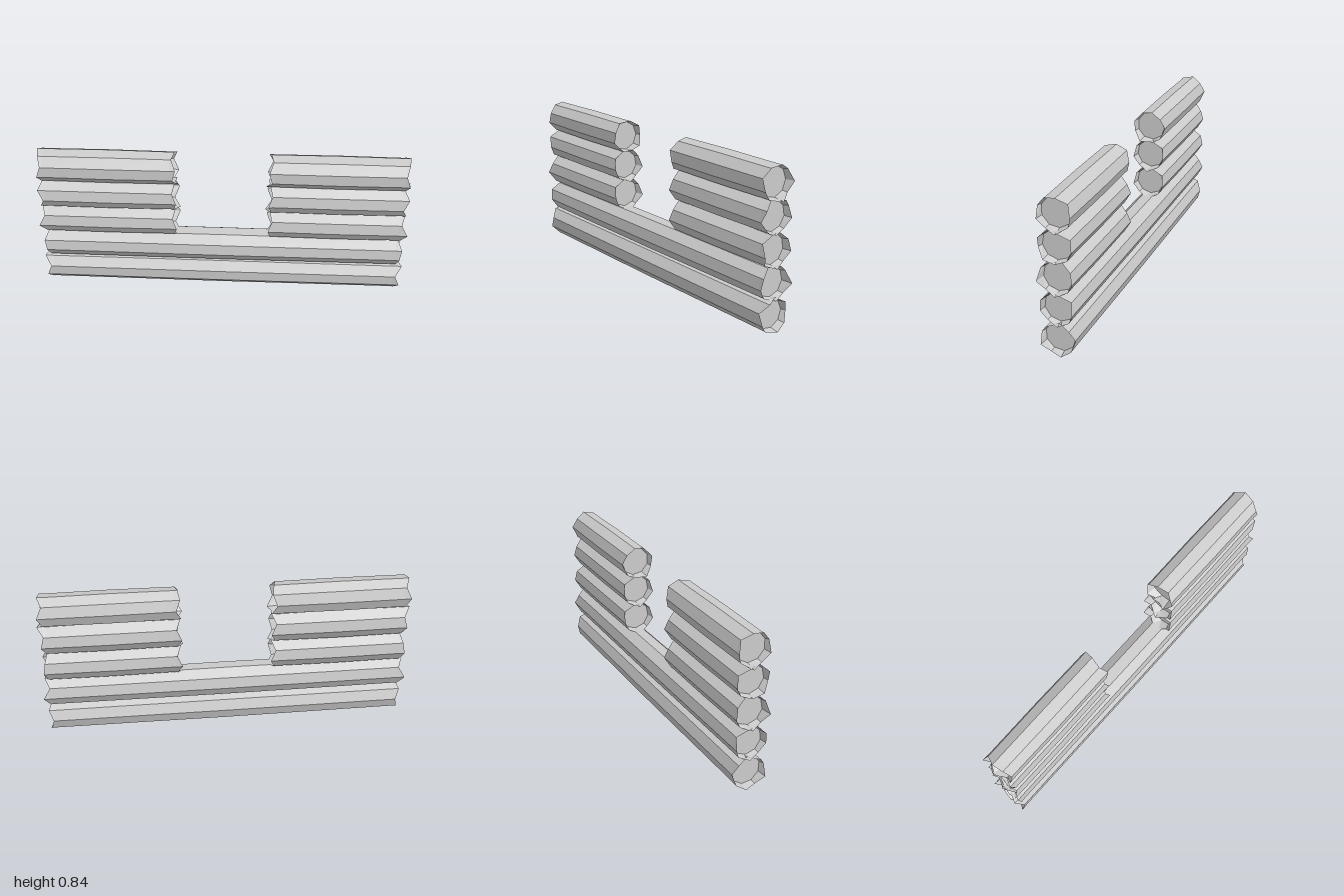
import * as THREE from 'three';

const SIDES = 9;
const MID_R = 0.091, END_R = 0.0885, LIP_R = 0.09, CAP_R = 0.08;
const RECESS = 0.018; // depth of the cut face behind the end of the trunk
// how far each splinter of bark stands past the end of the trunk
const SPLINTERS = [0.03, 0.008, 0.035, 0.01, 0.045, 0.012, 0.028, 0.006, 0.02];

// One polygonal ring of points around the x axis
function ring(r, phase, xAt) {
  return Array.from({ length: SIDES }, (_, k) => {
    const a = phase + (k / SIDES) * Math.PI * 2;
    return [xAt(k), r * Math.sin(a), r * Math.cos(a)];
  });
}

// Join two rings with quads; faces point outward when a lies at smaller x than b
function skin(out, a, b) {
  for (let i = 0; i < SIDES; i++) {
    const j = (i + 1) % SIDES;
    out.push(a[i], b[i], b[j], a[i], b[j], a[j]);
  }
}

// Flat cut face; dir is +1 or -1 along x
function cap(out, loop, dir) {
  const c = [loop[0][0], 0, 0];
  for (let i = 0; i < SIDES; i++) {
    const j = (i + 1) % SIDES;
    if (dir > 0) out.push(c, loop[j], loop[i]);
    else out.push(c, loop[i], loop[j]);
  }
}

function mesh(points, name, material) {
  const geo = new THREE.BufferGeometry();
  geo.setAttribute('position', new THREE.Float32BufferAttribute(points.flat(), 3));
  geo.computeVertexNormals();
  const m = new THREE.Mesh(geo, material);
  m.name = name;
  return m;
}

// A closed log from x0 to x1: trunk, ragged bark lips and recessed cut faces
function makeLog(name, x0, x1, y, phase, shift0, shift1, material) {
  const log = new THREE.Group();
  log.name = name;
  log.position.y = y;
  const jag = (k, s) => SPLINTERS[(k + s) % SIDES];

  const cap0 = ring(CAP_R, phase, () => x0 + RECESS);
  const lip0 = ring(LIP_R, phase, (k) => x0 - jag(k, shift0));
  const start = ring(END_R, phase, () => x0);
  const middle = ring(MID_R, phase, () => (x0 + x1) / 2);
  const end = ring(END_R, phase, () => x1);
  const lip1 = ring(LIP_R, phase, (k) => x1 + jag(k, shift1));
  const cap1 = ring(CAP_R, phase, () => x1 - RECESS);

  const bark = [], lips = [], faces = [];
  skin(bark, start, middle);
  skin(bark, middle, end);
  // outer and inner sides of the lips
  skin(lips, lip0, start);
  skin(lips, cap0, lip0);
  skin(lips, end, lip1);
  skin(lips, lip1, cap1);
  cap(faces, cap0, -1);
  cap(faces, cap1, 1);

  log.add(mesh(bark, 'bark', material), mesh(lips, 'barkLips', material), mesh(faces, 'cutFaces', material));
  return log;
}

export function createModel() {
  const wall = new THREE.Group();
  wall.name = 'logWallWithGap';
  const material = new THREE.MeshStandardMaterial({ color: 0xcccccc, flatShading: true });

  // rows from the ground up: turn of the log, splinter shift at outer and inner ends
  const rows = [
    { turn: 17, outer: 3 },
    { turn: 27, outer: 0 },
    { turn: 30, outer: 5, inner: 7 },
    { turn: 30, outer: 2, inner: 7 },
    { turn: 20, outer: 7, inner: 6 },
  ];

  rows.forEach(({ turn, outer, inner }, i) => {
    const y = 0.0905 + i * 0.1655;
    const phase = THREE.MathUtils.degToRad(turn);
    if (inner === undefined) {
      // full-length logs under the gap
      wall.add(makeLog('longLog' + (i + 1), -0.955, 0.955, y, phase, outer, outer, material));
    } else {
      // short logs on both sides of the gap
      wall.add(makeLog('leftLog' + (i + 1), 0.275, 0.955, y, phase, inner, outer, material));
      wall.add(makeLog('rightLog' + (i + 1), -0.955, -0.275, y, phase, outer, inner, material));
    }
  });
  return wall;
}
